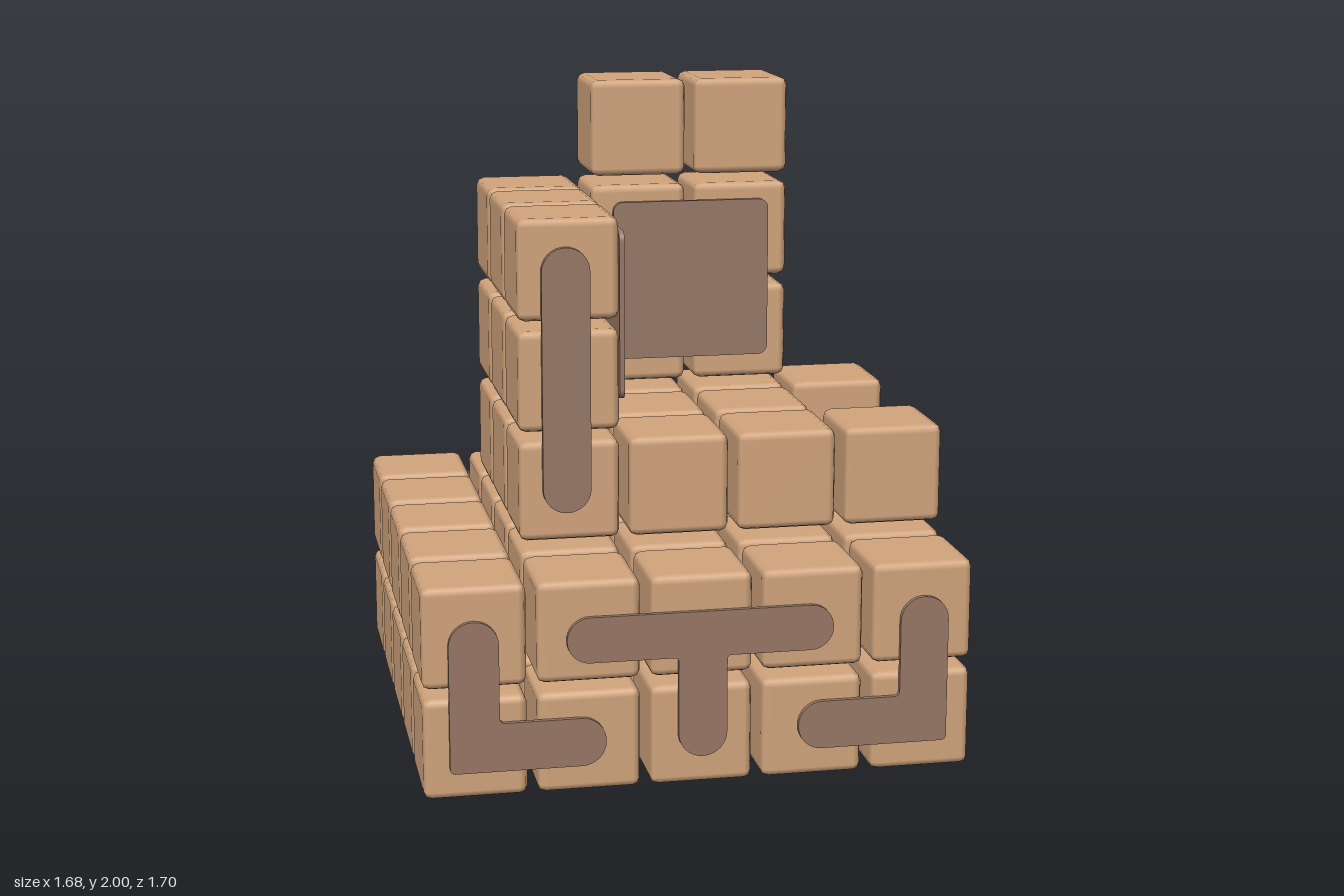
import * as THREE from 'three';
import { RoundedBoxGeometry } from 'three/addons/geometries/RoundedBoxGeometry.js';

const block = new THREE.MeshStandardMaterial({ color: 0xd2a57d });
block.name = 'tan block';
const inlay = new THREE.MeshStandardMaterial({ color: 0x987866 });
inlay.name = 'brown inlay';

const PITCH = 0.338, SIZE = 0.308;
const cx = i => -0.69 + i * PITCH;
const cy = j => 0.157 + j * PITCH;
const cz = k => -0.676 + k * PITCH;

// Right-angled outline whose corners [x, y, radius] are rounded
function outline(pts) {
  const s = new THREE.Shape(), n = pts.length, K = 0.5523;
  pts.forEach(([x, y, r = 0], i) => {
    const p = new THREE.Vector2(x, y);
    const toward = ([qx, qy], d) => p.clone().add(new THREE.Vector2(qx - x, qy - y).setLength(d));
    const prev = pts[(i + n - 1) % n], next = pts[(i + 1) % n];
    const a = r ? toward(prev, r) : p, b = r ? toward(next, r) : p;
    if (i === 0) s.moveTo(a.x, a.y); else s.lineTo(a.x, a.y);
    if (r) {
      const c = toward(prev, r * (1 - K)), d = toward(next, r * (1 - K));
      s.bezierCurveTo(c.x, c.y, d.x, d.y, b.x, b.y);
    }
  });
  s.closePath();
  return s;
}

const rect = (x0, x1, y0, y1, r) => outline([[x0, y0, r], [x1, y0, r], [x1, y1, r], [x0, y1, r]]);
const bar = (x0, x1, y0, y1) => rect(x0, x1, y0, y1, Math.min(x1 - x0, y1 - y0) * 0.499);

// Corner at (x, y), arms of width W reaching dx sideways and dy up or down
const W = 0.148, R = 0.073, S = 0.015;
function ell(x, y, dx, dy) {
  const wx = Math.sign(dx) * W, wy = Math.sign(dy) * W;
  return outline([[x, y, S], [x + dx, y, R], [x + dx, y + wy, R],
    [x + wx, y + wy, S], [x + wx, y + dy, R], [x, y + dy, R]]);
}

// Bar from x0 to x1 between y0 and y1, with a stem from s0 to s1 ending at ye
function tee(x0, x1, y0, y1, s0, s1, ye) {
  const r = (y1 - y0) * 0.499, q = (s1 - s0) * 0.499;
  const up = ye > y1, a = up ? y0 : y1, b = up ? y1 : y0;
  return outline([[x0, a, r], [x1, a, r], [x1, b, r], [s1, b, 0.012], [s1, ye, q],
    [s0, ye, q], [s0, b, 0.012], [x0, b, r]]);
}

export function createModel() {
  const model = new THREE.Group();
  model.name = 'blockFigure';

  // Cubes: rows run back to front, columns -x to +x
  const full = Array(5).fill('#####');
  const layers = [
    full,
    full,
    ['..#..', '.####', '.###.', '.####', '.....'],
    ['.....', '.###.', '.#...', '.#...', '.....'],
    ['.....', '.###.', '.#...', '.#...', '.....'],
    ['.....', '..##.', '.....', '.....', '.....'],
  ];
  const cube = new RoundedBoxGeometry(SIZE, SIZE, SIZE, 1, 0.024);
  const cubes = new THREE.Group();
  cubes.name = 'cubes';
  layers.forEach((rows, j) => rows.forEach((row, k) => [...row].forEach((c, i) => {
    if (c !== '#') return;
    const m = new THREE.Mesh(cube, block);
    m.name = 'cube';
    m.position.set(cx(i), cy(j), cz(k));
    cubes.add(m);
  })));
  model.add(cubes);

  // Inlay plates: turned about y, then pushed out to their face
  const plate = (name, shape, turn, offset, depth = 0.016) => {
    const g = new THREE.ExtrudeGeometry(shape, { depth, bevelEnabled: false, curveSegments: 8 });
    g.translate(0, 0, offset);
    const m = new THREE.Mesh(g, inlay);
    m.name = name;
    m.rotation.y = turn;
    model.add(m);
  };
  const FRONT = 0, SIDE = Math.PI / 2, BACK = Math.PI;

  // Front face
  plate('frontRightCorner', ell(-0.768, 0.087, 0.464, 0.461), FRONT, 0.829);
  plate('frontLeftCorner', ell(0.738, 0.092, -0.46, 0.456), FRONT, 0.829);
  plate('frontTee', tee(-0.42, 0.383, 0.403, 0.542, -0.087, 0.06, 0.093), FRONT, 0.829);
  plate('towerBar', bar(-0.437, -0.29, 0.77, 1.58), FRONT, 0.494, 0.019);

  // Left face
  plate('sideBar', bar(-0.407, 0.074, 0.431, 0.574), SIDE, 0.817, 0.019);
  plate('sideTee', tee(-0.063, 0.746, 0.09, 0.23, 0.26, 0.407, 0.542), SIDE, 0.817, 0.019);

  // Square panels in the tower's inner corner
  plate('backPanel', rect(-0.1, 0.412, 1.095, 1.61, 0.03), FRONT, -0.184);
  plate('sidePanel', rect(-0.432, 0.083, 1.095, 1.61, 0.03), SIDE, -0.188);

  // Back face
  plate('backLeftCorner', ell(-0.725, 0.568, 0.459, -0.488), BACK, 0.83, 0.02);
  plate('backRightCorner', ell(0.766, 0.568, -0.46, -0.488), BACK, 0.83, 0.02);
  plate('backBar', bar(-0.057, 0.087, 0.08, 0.56), BACK, 0.829, 0.012);

  // Round discs on the backs of three cubes
  for (const [i, j, z] of [[3, 5, 0.49], [1, 4, 0.49], [2, 2, 0.83]]) {
    const disc = new THREE.Mesh(new THREE.CylinderGeometry(0.135, 0.135, 0.02, 32), inlay);
    disc.name = 'backDisc';
    disc.rotation.x = Math.PI / 2;
    disc.position.set(cx(i), cy(j), -z - 0.01);
    model.add(disc);
  }
  return model;
}
